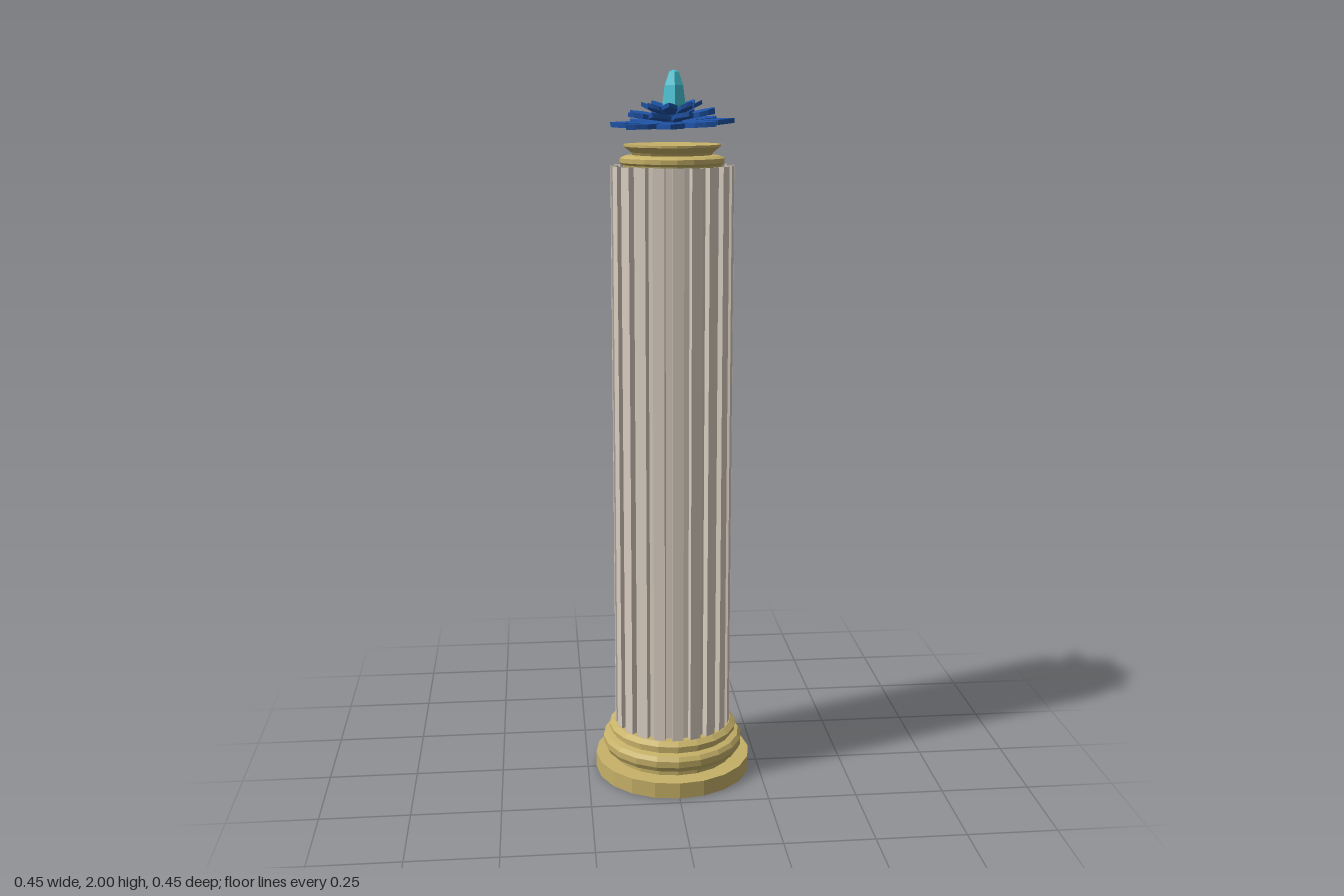
import * as THREE from 'three';

const mat = (name, color, extra = {}) => new THREE.MeshStandardMaterial({ name, color, flatShading: true, ...extra });
const V = (pts) => pts.map(([r, y]) => new THREE.Vector2(r, y));

function add(parent, name, geometry, material) {
  const mesh = new THREE.Mesh(geometry, material);
  mesh.name = name;
  parent.add(mesh);
  return mesh;
}

// Open fluted tube: every flute has a flat ridge and a square groove
function flutedShaft(y0, y1, flutes, ridge, groove) {
  const g = new THREE.CylinderGeometry(1, 1, y1 - y0, flutes * 4, 1, true);
  const p = g.attributes.position;
  const offset = [-0.3, 0.3, 0.32, 0.68];
  const row = flutes * 4 + 1;
  for (let i = 0; i < p.count; i++) {
    const k = i % row, j = k % 4;
    const a = (Math.floor(k / 4) + offset[j]) * Math.PI * 2 / flutes;
    const r = j < 2 ? ridge : groove;
    p.setXYZ(i, Math.sin(a) * r, p.getY(i) + (y0 + y1) / 2, Math.cos(a) * r);
  }
  g.computeVertexNormals();
  return g;
}

// Pointed petal along +x, rising towards its tip
function petalGeometry(length, half, rise, thickness) {
  const shape = new THREE.Shape(V([
    [0.01, -half * 0.3], [length * 0.5, -half * 0.75], [length * 0.74, -half], [length * 0.9, -half * 0.5],
    [length, 0],
    [length * 0.9, half * 0.5], [length * 0.74, half], [length * 0.5, half * 0.75], [0.01, half * 0.3],
  ]));
  const g = new THREE.ExtrudeGeometry(shape, { depth: thickness, bevelEnabled: false });
  g.rotateX(-Math.PI / 2);
  const p = g.attributes.position;
  for (let i = 0; i < p.count; i++) {
    p.setY(i, p.getY(i) + rise * Math.max(p.getX(i), 0) / length);
  }
  g.computeVertexNormals();
  return g;
}

export function createModel() {
  const gold = mat('gold', 0xc6b168);
  const stone = mat('pale stone', 0xd8cdc0, { side: THREE.DoubleSide });
  const blue = mat('petal blue', 0x1f54a8);
  const cyan = mat('crystal cyan', 0x45c3d3);
  const model = new THREE.Group();
  model.name = 'column';

  // Moulded base
  add(model, 'base', new THREE.LatheGeometry(V([
    [0, 0], [0.225, 0], [0.225, 0.046], [0.178, 0.048], [0.178, 0.062],
    [0.196, 0.068], [0.203, 0.082], [0.203, 0.1], [0.194, 0.111], [0.176, 0.115],
    [0.176, 0.124], [0.185, 0.127], [0.185, 0.137], [0.17, 0.148], [0, 0.15],
  ]), 20), gold);

  // Shaft
  add(model, 'shaft', flutedShaft(0.148, 1.75, 20, 0.167, 0.149), stone);

  // Capital with a shallow dish on top
  add(model, 'capital', new THREE.LatheGeometry(V([
    [0, 1.735], [0.13, 1.735], [0.134, 1.752], [0.142, 1.758], [0.142, 1.77], [0.128, 1.776],
    [0.108, 1.778], [0.112, 1.785], [0.131, 1.8], [0.131, 1.806], [0.12, 1.805], [0, 1.792],
  ]), 20), gold);

  // Floating, slightly tilted flower: three tiers of eight petals
  const flower = new THREE.Group();
  flower.name = 'flower';
  flower.position.y = 1.85;
  flower.rotation.set(0.04, 0, 0.04);
  model.add(flower);
  const tiers = [
    { name: 'outerPetal', length: 0.166, half: 0.037, y: 0, rise: 0.006, turn: 7, thickness: 0.013 },
    { name: 'middlePetal', length: 0.124, half: 0.026, y: 0.012, rise: 0.022, turn: 29.5, thickness: 0.012 },
    { name: 'innerPetal', length: 0.082, half: 0.02, y: 0.022, rise: 0.036, turn: 10, thickness: 0.011 },
  ];
  for (const t of tiers) {
    const g = petalGeometry(t.length, t.half, t.rise, t.thickness);
    for (let i = 0; i < 8; i++) {
      const petal = add(flower, t.name, g, blue);
      petal.position.y = t.y;
      petal.rotation.y = -THREE.MathUtils.degToRad(t.turn + i * 45);
    }
  }
  const heart = add(flower, 'flowerHeart', new THREE.CylinderGeometry(0.03, 0.025, 0.035, 8), blue);
  heart.position.y = 0.018;

  // Tall six-sided crystal with a narrow tip
  add(model, 'crystal', new THREE.LatheGeometry(V([
    [0, 1.865], [0.02, 1.87], [0.034, 1.91], [0.027, 1.96], [0.014, 1.995], [0, 2],
  ]), 6), cyan).position.x = 0.004;

  return model;
}
